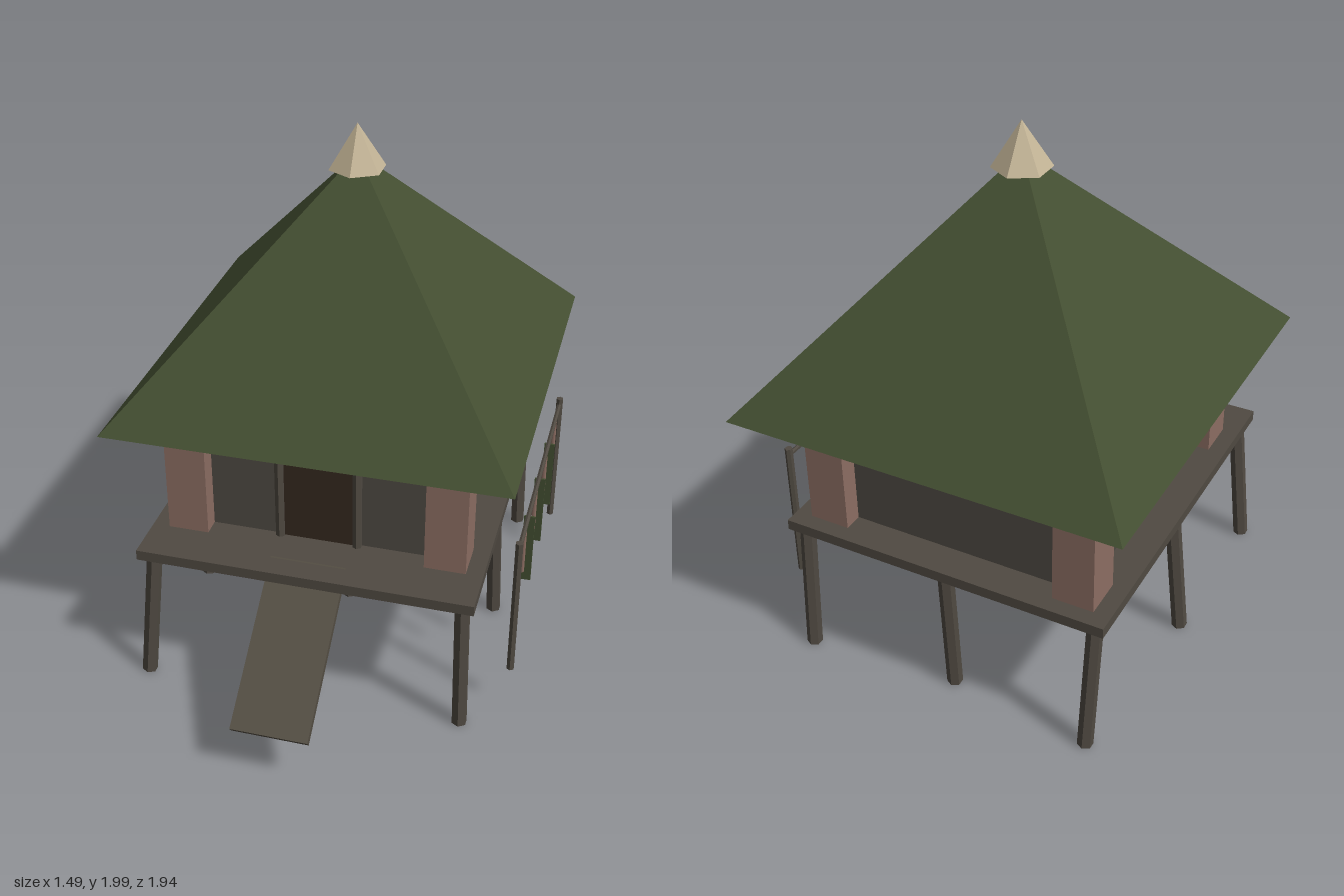
import * as THREE from 'three';

const mat = (name, color, extra = {}) => {
  const m = new THREE.MeshStandardMaterial({ color, ...extra });
  m.name = name;
  return m;
};

export function createModel() {
  const model = new THREE.Group();
  model.name = 'stiltHut';
  const thatch = mat('green thatch', 0x434e31, { flatShading: true });
  const wood = mat('grey wood', 0x504a42, { flatShading: true });
  const plank = mat('ramp wood', 0x544e43);
  const wall = mat('wall panel', 0x4f4a43);
  const clay = mat('reddish post', 0x8d6e63);
  const dark = mat('door brown', 0x35291f);
  const bone = mat('pale finial', 0xc2b395, { flatShading: true });

  const add = (name, geo, material, x, y, z, parent = model) => {
    const mesh = new THREE.Mesh(geo, material);
    mesh.name = name;
    mesh.position.set(x, y, z);
    parent.add(mesh);
    return mesh;
  };
  const box = (name, w, h, d, material, x, y, z, parent) =>
    add(name, new THREE.BoxGeometry(w, h, d), material, x, y, z, parent);

  // Round pole between two points
  const pole = (name, a, b, r, parent) => {
    const dir = b.clone().sub(a);
    const mid = a.clone().add(b).multiplyScalar(0.5);
    const mesh = add(name, new THREE.CylinderGeometry(r, r, dir.length(), 6), wood, mid.x, mid.y, mid.z, parent);
    mesh.quaternion.setFromUnitVectors(new THREE.Vector3(0, 1, 0), dir.normalize());
    return mesh;
  };
  const v = (x, y, z) => new THREE.Vector3(x, y, z);
  const cx = -0.013;

  // Floor deck
  box('platform', 1.243, 0.04, 1.408, wood, cx, 0.57, -0.143);

  // Nine crooked stilts: foot offsets [dx, dz], rows front to back, each from -x to +x
  const lean = [
    [[-0.05, 0.02], [0, -0.03], [0.01, 0]],
    [[-0.04, 0.035], [0, 0.03], [0.015, -0.035]],
    [[0.02, -0.02], [0.005, 0.04], [0.01, -0.02]],
  ];
  const stilts = new THREE.Group();
  stilts.name = 'stilts';
  model.add(stilts);
  lean.forEach((row, r) => row.forEach(([dx, dz], c) => {
    const x = cx + (c - 1) * 0.572, z = 0.507 - r * 0.653;
    pole('stilt', v(x + dx, 0.008, z + dz), v(x, 0.555, z), 0.029, stilts);
  }));

  // Hut body: recessed walls with corner posts
  const wz = -0.2;
  box('walls', 0.976, 0.475, 1.034, wall, cx, 0.8225, wz);
  for (const sx of [-1, 1]) for (const sz of [-1, 1])
    box('cornerPost', 0.152, 0.5, 0.152, clay, cx + sx * 0.482, 0.81, wz + sz * 0.511);

  // Doorway
  const front = wz + 0.517;
  box('door', 0.27, 0.43, 0.008, dark, cx, 0.805, front + 0.004);
  for (const s of [-1, 1]) pole('doorJamb', v(cx + s * 0.145, 0.59, front + 0.01), v(cx + s * 0.145, 1.04, front + 0.01), 0.018);
  box('doorLintel', 0.325, 0.035, 0.045, wood, cx, 1.037, front + 0.01);

  // Pyramid roof, scaled from a square cone
  const roofGeo = new THREE.ConeGeometry(Math.SQRT2, 1, 4).rotateY(Math.PI / 4).scale(0.733, 0.835, 0.7625);
  add('roof', roofGeo, thatch, -0.012, 1.055 + 0.835 / 2, -0.206);
  add('finial', new THREE.ConeGeometry(0.106, 0.165, 6), bone, -0.012, 1.9175, -0.206);

  // Entrance ramp
  const ramp = box('ramp', 0.28, 0.028, 0.628, plank, cx, 0.393, 0.71);
  ramp.rotation.x = Math.atan2(0.38, 0.505);

  // Drying rack beside the deck
  const rack = new THREE.Group();
  rack.name = 'dryingRack';
  model.add(rack);
  const rx = 0.7245;
  for (const z of [0.365, -0.656]) pole('rackPost', v(rx, 0.18, z), v(rx, 0.745, z), 0.0145, rack);
  pole('rackRail', v(rx, 0.717, 0.365), v(rx, 0.717, -0.656), 0.009, rack);
  for (let i = 0; i < 7; i++) {
    const z = 0.238 - i * 0.1272;
    if (i % 2) box('hangingLeaf', 0.04, 0.285, 0.008, thatch, rx, 0.5425, z, rack);
    else add('hangingStrip', new THREE.CylinderGeometry(0.009, 0.009, 0.18, 6), clay, rx, 0.62, z, rack);
  }
  return model;
}
